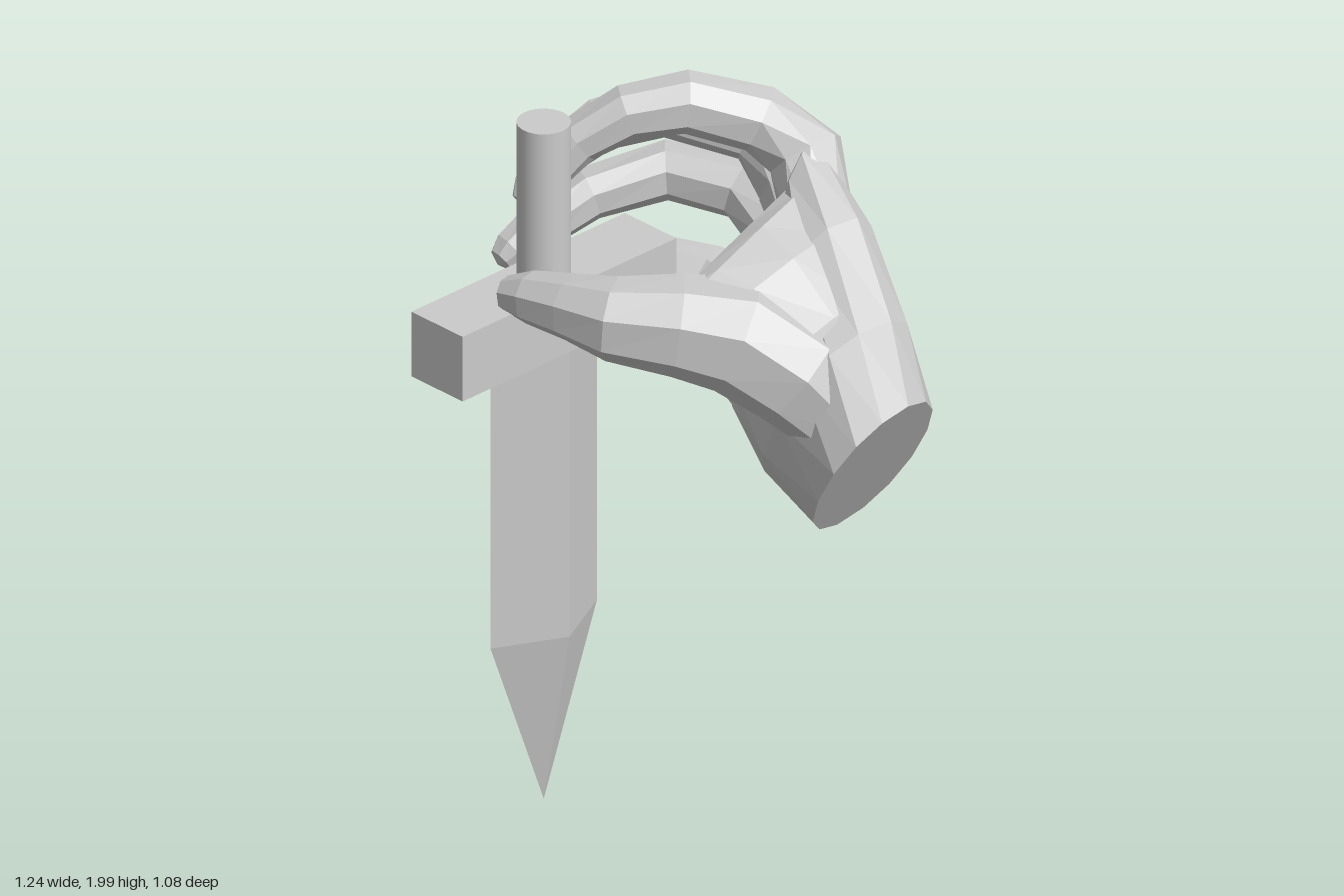
import * as THREE from 'three';

const V = (a) => new THREE.Vector3(...a);

export function createModel() {
  const model = new THREE.Group();
  const faceted = new THREE.MeshStandardMaterial({ color: 0xcccccc, flatShading: true });
  const smooth = new THREE.MeshStandardMaterial({ color: 0xcccccc });

  const add = (name, geometry, parent, material = faceted) => {
    const mesh = new THREE.Mesh(geometry, material);
    mesh.name = name;
    parent.add(mesh);
    return mesh;
  };

  // Skin a list of rings (each an array of points) and close both ends.
  const loft = (rings, startCentre, endCentre) => {
    const pos = [];
    const n = rings[0].length;
    const tri = (...pts) => pts.forEach((p) => pos.push(p.x, p.y, p.z));
    const last = rings[rings.length - 1];
    for (let i = 0; i < n; i++) {
      const k = (i + 1) % n;
      for (let j = 0; j < rings.length - 1; j++) {
        const a = rings[j], b = rings[j + 1];
        tri(a[i], a[k], b[i]);
        tri(a[k], b[k], b[i]);
      }
      tri(startCentre, rings[0][k], rings[0][i]);
      tri(endCentre, last[i], last[k]);
    }
    const g = new THREE.BufferGeometry();
    g.setAttribute('position', new THREE.Float32BufferAttribute(pos, 3));
    g.computeVertexNormals();
    return g;
  };

  // Ring around c spanned by half-axes a and b; power < 1 squares it off.
  const ring = (c, a, b, sides, power = 0.92) =>
    Array.from({ length: sides }, (_, i) => {
      const t = ((i + 0.5) / sides) * Math.PI * 2;
      const f = (s) => Math.sign(s) * Math.abs(s) ** power;
      return c.clone().addScaledVector(a, f(Math.cos(t))).addScaledVector(b, f(Math.sin(t)));
    });

  // Tapered limb through stations [x, y, z, radius].
  const limb = (stations, sides = 8) => {
    const pts = stations.map((s) => V(s.slice(0, 3)));
    const end = pts.length - 1;
    let tangent;
    const rings = pts.map((p, i) => {
      tangent = pts[Math.min(i + 1, end)].clone().sub(pts[Math.max(i - 1, 0)]).normalize();
      const a = new THREE.Vector3(0, 1, 0).cross(tangent).normalize();
      const b = tangent.clone().cross(a);
      const r = stations[i][3];
      return ring(p, a.multiplyScalar(r), b.multiplyScalar(r), sides);
    });
    const tip = pts[end].clone().addScaledVector(tangent, stations[end][3] * 0.4);
    return loft(rings, pts[0], tip);
  };

  // Dagger: round grip, square crossguard, diamond blade with a point
  const dagger = new THREE.Group();
  dagger.name = 'dagger';
  dagger.position.set(-0.358, 0, 0.167);
  model.add(dagger);
  add('grip', new THREE.CylinderGeometry(0.069, 0.069, 0.44, 32), dagger, smooth).position.y = 1.72;
  add('crossguard', new THREE.BoxGeometry(0.186, 0.185, 0.75), dagger).position.y = 1.408;
  const blade = add('blade', new THREE.CylinderGeometry(1, 1, 0.82, 4), dagger);
  blade.scale.set(0.093, 1, 0.187);
  blade.position.y = 0.91;
  const point = add('bladePoint', new THREE.ConeGeometry(1, 0.5, 4), dagger);
  point.scale.set(0.093, 1, 0.187);
  point.rotation.x = Math.PI;
  point.position.y = 0.25;

  const hand = new THREE.Group();
  hand.name = 'hand';
  model.add(hand);

  // Palm: wrist cut to knuckle row. [centre, half width axis, half thickness axis]
  const palm = [
    [[0.485, 1.155, -0.17], [0.135, 0.22, 0.05], [0, 0.03, -0.192]],
    [[0.325, 1.28, -0.195], [0.165, 0.275, 0.02], [0.01, 0, -0.195]],
    [[0.13, 1.41, -0.265], [0.15, 0.33, 0], [0.02, 0, -0.17]],
    [[0.01, 1.51, -0.35], [0.06, 0.335, 0], [-0.04, 0, -0.13]],
    [[-0.07, 1.54, -0.42], [0.05, 0.265, 0], [-0.03, 0, -0.09]],
    [[-0.15, 1.55, -0.41], [0.03, 0.21, 0], [-0.02, 0, -0.05]],
  ].map((s) => s.map(V));
  add('palm', loft(
    palm.map(([c, a, b], i) => ring(c, a, b, 14, i ? 0.85 : 0.95)),
    palm[0][0], palm[palm.length - 1][0],
  ), hand);

  // Web between thumb and index finger. [thumb side, index side, half thickness]
  const web = [
    [[0.47, 1.25, -0.1], [0.5, 1.27, -0.24], 0.1],
    [[0.34, 1.45, -0.02], [0.37, 1.53, -0.26], 0.11],
    [[0.21, 1.57, 0.06], [0.22, 1.66, -0.31], 0.09],
    [[0.13, 1.61, 0.11], [0.09, 1.75, -0.36], 0.06],
    [[0.1, 1.62, 0.11], [0.05, 1.76, -0.37], 0.025],
  ].map(([p, q, thickness]) => {
    const centre = V(p).lerp(V(q), 0.5);
    const a = V(q).sub(V(p)).multiplyScalar(0.58);
    const b = new THREE.Vector3(-0.8, 0.55, 0).cross(a).setLength(thickness);
    return { centre, points: ring(centre, a, b, 10) };
  });
  add('thumbWeb', loft(web.map((s) => s.points), web[0].centre, web[4].centre), hand);

  // Fingers and thumb, each starting inside the palm
  const limbs = {
    indexFinger: [[0.14, 1.64, -0.32, 0.09], [0.02, 1.785, -0.385, 0.1], [-0.09, 1.865, -0.33, 0.086],
      [-0.21, 1.92, -0.19, 0.08], [-0.3, 1.9, -0.07, 0.071], [-0.375, 1.83, 0.03, 0.062],
      [-0.41, 1.75, 0.1, 0.054], [-0.42, 1.7, 0.135, 0.036]],
    middleFinger: [[0.1, 1.57, -0.35, 0.09], [-0.06, 1.66, -0.435, 0.105], [-0.2, 1.76, -0.42, 0.086],
      [-0.37, 1.81, -0.27, 0.074], [-0.46, 1.78, -0.13, 0.068], [-0.5, 1.71, 0, 0.06],
      [-0.51, 1.65, 0.06, 0.052], [-0.51, 1.62, 0.085, 0.036]],
    ringFinger: [[0.1, 1.44, -0.34, 0.09], [-0.06, 1.5, -0.42, 0.1], [-0.24, 1.58, -0.415, 0.084],
      [-0.41, 1.6, -0.315, 0.076], [-0.51, 1.56, -0.14, 0.068], [-0.56, 1.49, 0, 0.06],
      [-0.575, 1.45, 0.07, 0.052], [-0.58, 1.43, 0.1, 0.036]],
    littleFinger: [[0.2, 1.2, -0.23, 0.16], [0.02, 1.255, -0.28, 0.165], [-0.13, 1.305, -0.325, 0.123],
      [-0.26, 1.345, -0.31, 0.092], [-0.37, 1.37, -0.25, 0.073], [-0.46, 1.37, -0.13, 0.063],
      [-0.5, 1.33, -0.03, 0.055], [-0.5, 1.29, 0.02, 0.05], [-0.49, 1.27, 0.04, 0.034]],
    thumb: [[0.45, 1.26, -0.14, 0.11], [0.34, 1.41, -0.05, 0.145], [0.22, 1.51, 0.05, 0.15],
      [0.12, 1.54, 0.16, 0.13], [0, 1.555, 0.275, 0.107], [-0.12, 1.555, 0.305, 0.084],
      [-0.24, 1.545, 0.33, 0.067], [-0.31, 1.535, 0.345, 0.044]],
  };
  for (const [name, stations] of Object.entries(limbs)) add(name, limb(stations), hand);

  return model;
}
